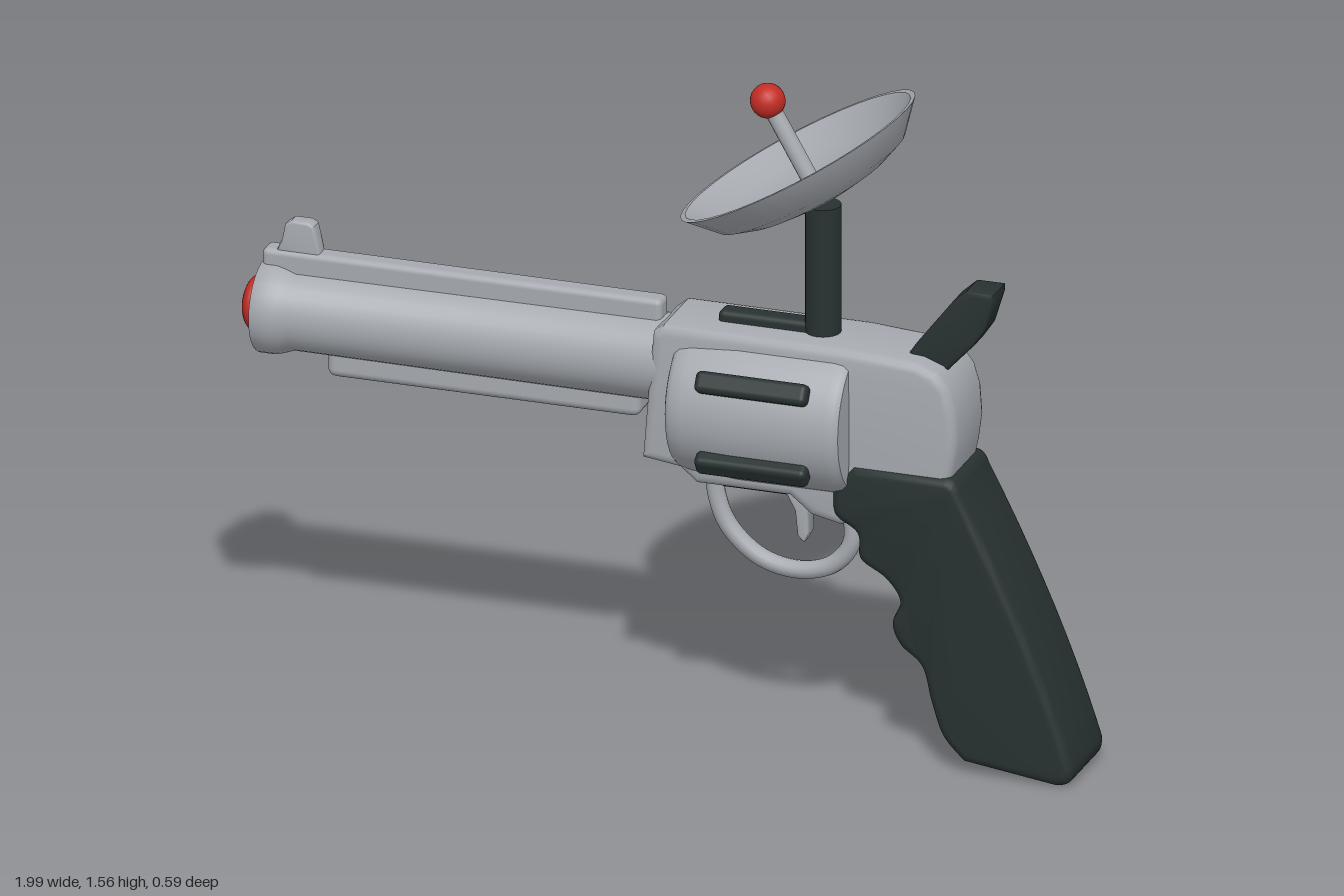
import * as THREE from 'three';
import { toCreasedNormals } from 'three/addons/utils/BufferGeometryUtils.js';
import { RoundedBoxGeometry } from 'three/addons/geometries/RoundedBoxGeometry.js';

const mat = (name, color) => {
  const m = new THREE.MeshStandardMaterial({ color });
  m.name = name;
  return m;
};

export function createModel() {
  const steel = mat('steel grey', 0xa6aab0);
  const dark = mat('dark green black', 0x283231);
  const red = mat('red', 0xc22d25);
  const model = new THREE.Group();

  const add = (name, geo, material, x = 0, y = 0, z = 0, parent = model) => {
    const mesh = new THREE.Mesh(geo, material);
    mesh.name = name;
    mesh.position.set(x, y, z);
    parent.add(mesh);
    return mesh;
  };
  const vecs = (pts) => pts.map(([x, y]) => new THREE.Vector2(x, y));

  // side outline extruded across z, with rounded edges
  const plate = (shape, half, bevel) => {
    const geo = new THREE.ExtrudeGeometry(shape, {
      depth: 2 * (half - bevel), bevelThickness: bevel, bevelSize: bevel,
      bevelOffset: -bevel, bevelSegments: 3, curveSegments: 10,
    });
    geo.translate(0, 0, -(half - bevel));
    return toCreasedNormals(geo, 0.6);
  };
  const poly = (pts) => new THREE.Shape(vecs(pts));
  // profile of [radius, height] turned about y
  const lathe = (pts, seg = 32) => toCreasedNormals(new THREE.LatheGeometry(vecs(pts), seg), 0.6);
  const latheX = (pts, seg) => lathe(pts, seg).rotateZ(-Math.PI / 2);

  // barrel with flared muzzle
  add('barrel', latheX([
    [0, -0.955], [0.107, -0.955], [0.11, -0.95], [0.11, -0.915], [0.105, -0.895],
    [0.096, -0.87], [0.1, 0.03], [0, 0.03],
  ]), steel, 0, 0.872, 0);
  add('muzzleTip', new THREE.SphereGeometry(0.063, 24, 16).scale(0.45, 1, 1), red, -0.972, 0.872, 0);
  add('topRib', new RoundedBoxGeometry(0.945, 0.07, 0.055, 3, 0.014), steel, -0.48, 0.98, 0);
  add('underRod', new RoundedBoxGeometry(0.74, 0.09, 0.08, 3, 0.02), steel, -0.425, 0.775, 0);
  add('frontSight', plate(poly([
    [-0.925, 1.0], [-0.815, 1.0], [-0.825, 1.05], [-0.832, 1.078], [-0.845, 1.086],
    [-0.885, 1.086], [-0.9, 1.075], [-0.907, 1.04],
  ]), 0.02, 0.006), steel);

  // frame running from the barrel collar to the rounded back
  add('frame', plate(poly([
    [-0.03, 0.66], [0.06, 0.648], [0.1, 0.615], [0.32, 0.615], [0.37, 0.575], [0.44, 0.56],
    [0.55, 0.6], [0.69, 0.66], [0.707, 0.74], [0.715, 0.8], [0.71, 0.87], [0.695, 0.92],
    [0.668, 0.955], [0.62, 0.973], [0.45, 0.985], [0.02, 0.985], [-0.005, 0.965],
    [-0.015, 0.85],
  ]), 0.1, 0.022), steel);

  // revolving cylinder and its six dark inserts
  const drum = new THREE.Group();
  drum.name = 'drum';
  drum.position.set(0, 0.797, 0);
  model.add(drum);
  add('drumBody', latheX([
    [0, 0.045], [0.15, 0.045], [0.163, 0.05], [0.172, 0.062], [0.178, 0.09], [0.185, 0.2],
    [0.185, 0.43], [0.182, 0.45], [0.173, 0.462], [0, 0.465],
  ], 40), steel, 0, 0, 0, drum);
  for (let i = 0; i < 6; i++) {
    const a = i * Math.PI / 3;
    const slot = add('drumInsert', new RoundedBoxGeometry(0.265, 0.04, 0.05, 3, 0.014), dark,
      0.258, 0.193 * Math.cos(a), 0.193 * Math.sin(a), drum);
    slot.rotation.x = a;
  }

  // grip with finger grooves
  const grip = new THREE.Shape();
  grip.moveTo(0.475, 0.71);
  grip.lineTo(0.425, 0.655);
  grip.splineThru(vecs([
    [0.43, 0.59], [0.482, 0.55], [0.49, 0.49], [0.55, 0.45], [0.583, 0.4], [0.565, 0.345],
    [0.585, 0.295], [0.635, 0.25], [0.657, 0.17], [0.685, 0.09], [0.735, 0.035],
  ]));
  grip.lineTo(0.955, 0.005);
  grip.quadraticCurveTo(0.998, 0.008, 0.993, 0.055);
  grip.quadraticCurveTo(0.9, 0.35, 0.725, 0.68);
  grip.quadraticCurveTo(0.715, 0.71, 0.69, 0.71);
  add('grip', plate(grip, 0.112, 0.02), dark);

  // hammer
  add('hammer', plate(poly([
    [0.57, 0.955], [0.6, 1.0], [0.685, 1.11], [0.72, 1.142], [0.785, 1.142], [0.785, 1.125],
    [0.762, 1.05], [0.735, 1.01], [0.675, 0.945], [0.6, 0.9],
  ]), 0.042, 0.01), dark);

  // trigger and its guard
  const guardPath = new THREE.CatmullRomCurve3([
    [0.11, 0.64], [0.115, 0.56], [0.145, 0.485], [0.22, 0.42], [0.31, 0.402],
    [0.39, 0.425], [0.435, 0.485], [0.43, 0.59],
  ].map(([x, y]) => new THREE.Vector3(x, y, 0)));
  add('triggerGuard', new THREE.TubeGeometry(guardPath, 40, 0.021, 12), steel);
  add('trigger', plate(poly([
    [0.27, 0.63], [0.285, 0.59], [0.307, 0.55], [0.313, 0.49], [0.328, 0.476],
    [0.34, 0.5], [0.337, 0.56], [0.36, 0.62],
  ]), 0.022, 0.006), steel);

  // screws on the right-hand side
  for (const [x, y, z] of [[0.58, 0.86, -0.1], [0.72, 0.37, -0.115]]) {
    add('screw', new THREE.SphereGeometry(0.025, 12, 8).scale(1, 1, 0.75), steel, x, y, z);
  }

  // post and tilted dish with its feed rod
  add('dishPost', new THREE.CylinderGeometry(0.041, 0.041, 0.32, 20), dark, 0.367, 1.13, 0);
  const dish = new THREE.Group();
  dish.name = 'dish';
  dish.position.set(0.307, 1.397, 0);
  dish.rotation.z = 0.52;
  model.add(dish);
  add('dishBowl', lathe([
    [0, -0.112], [0.1, -0.107], [0.18, -0.09], [0.235, -0.068], [0.297, 0],
    [0.285, 0], [0.225, -0.048], [0.17, -0.072], [0.095, -0.09], [0, -0.095],
  ], 36), steel, 0, 0, 0, dish);
  add('feedRod', new THREE.CylinderGeometry(0.02, 0.02, 0.24, 16), steel, 0, 0.02, 0, dish);
  add('feedBall', new THREE.SphereGeometry(0.04, 20, 14), red, 0, 0.143, 0, dish);

  return model;
}
